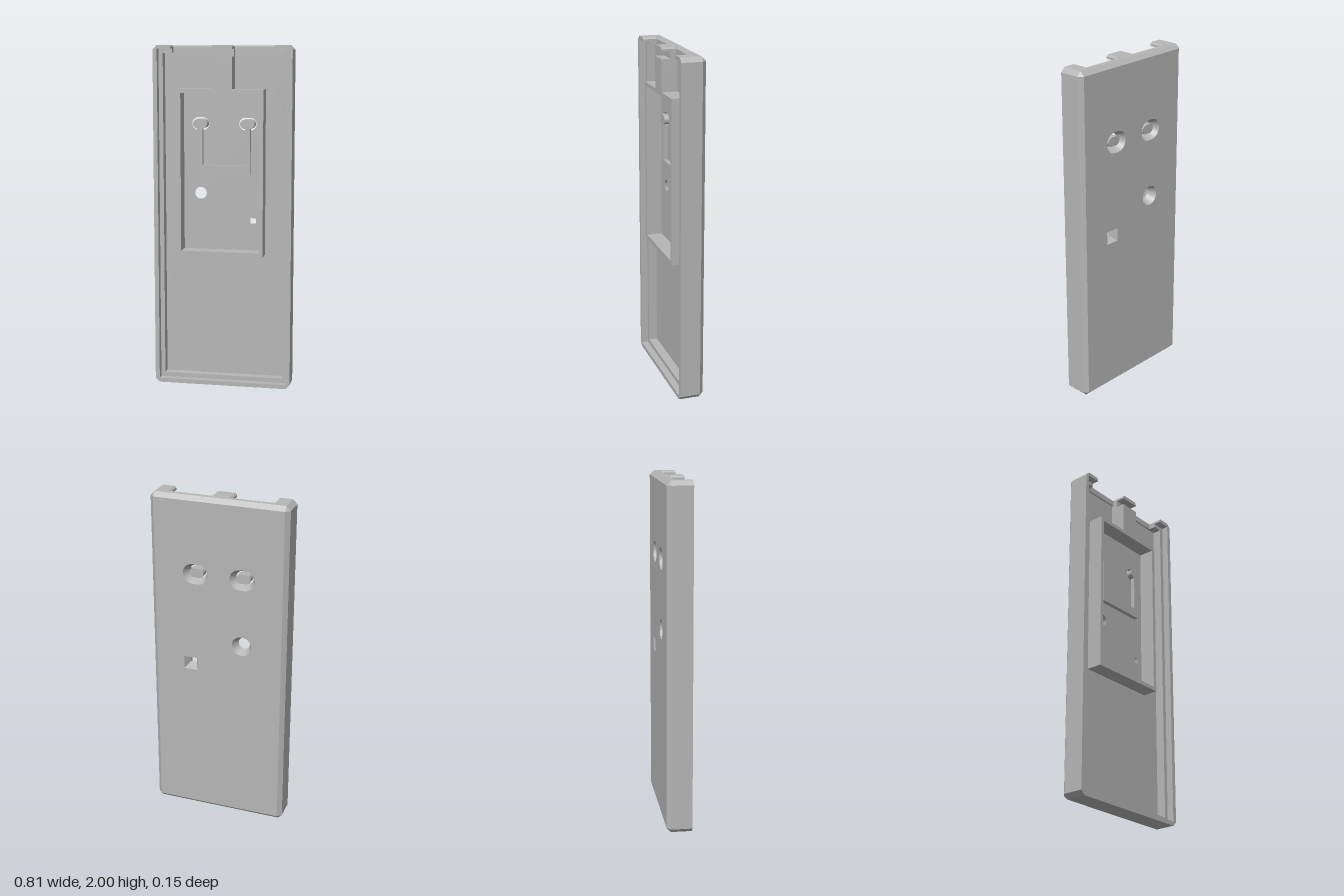
import * as THREE from 'three';
import { mergeGeometries, toCreasedNormals } from 'three/addons/utils/BufferGeometryUtils.js';

const W = 0.405, H = 2, C = 0.025;            // half width, height, chamfer
const BACK = -0.073, FRONT = 0.073, FLOOR = -0.02, NOTCH = -0.01, LIP = 0.033;

const vecs = (list) => list.map(([x, y]) => new THREE.Vector2(x, y));
const rect = (x0, y0, x1, y1) => vecs([[x0, y0], [x1, y0], [x1, y1], [x0, y1]]);

// Rounded slot outline, counter-clockwise; a circle when hw equals hh
function slot(cx, cy, hw, hh, n = 12) {
  const pts = [];
  for (const side of [1, -1]) {
    for (let i = 0; i <= n; i++) {
      if (hw === hh && i === n) continue;
      const a = -Math.PI / 2 + (i / n) * Math.PI;
      pts.push(new THREE.Vector2(cx + side * (hw - hh + Math.cos(a) * hh), cy + side * Math.sin(a) * hh));
    }
  }
  return pts;
}

// Wall strip between two outlines with equal point counts
function loft(a, za, b, zb) {
  const pos = [];
  for (let i = 0; i < a.length; i++) {
    const j = (i + 1) % a.length;
    pos.push(a[i].x, a[i].y, za, a[j].x, a[j].y, za, b[j].x, b[j].y, zb);
    pos.push(a[i].x, a[i].y, za, b[j].x, b[j].y, zb, b[i].x, b[i].y, zb);
  }
  return new THREE.BufferGeometry().setAttribute('position', new THREE.Float32BufferAttribute(pos, 3));
}

// Flat face with holes, facing +z, or -z when flipped
function face(outline, holes, z, flip) {
  const s = new THREE.Shape(outline);
  s.holes = holes.map((h) => new THREE.Path(h));
  const g = new THREE.ShapeGeometry(s);
  if (flip) g.setIndex(Array.from(g.index.array).reverse());
  const flat = g.toNonIndexed().translate(0, 0, z);
  flat.deleteAttribute('normal');
  flat.deleteAttribute('uv');
  return flat;
}

function slab(outline, z0, z1, holes = []) {
  const s = new THREE.Shape(outline);
  s.holes = holes.map((h) => new THREE.Path(h));
  const g = new THREE.ExtrudeGeometry(s, { depth: z1 - z0, bevelEnabled: false }).translate(0, 0, z0);
  return toCreasedNormals(g, 0.6);
}

// Extrude a (z, y) profile along x
function alongX(profile, x0, x1) {
  const s = new THREE.Shape(profile.map(([z, y]) => new THREE.Vector2(-z, y)));
  return new THREE.ExtrudeGeometry(s, { depth: x1 - x0, bevelEnabled: false })
    .rotateY(Math.PI / 2).translate(x0, 0, 0);
}

export function createModel() {
  const group = new THREE.Group();
  const grey = new THREE.MeshStandardMaterial({ color: 0xb6b6b6 });
  grey.name = 'plain grey';
  const add = (name, geometry) => {
    const m = new THREE.Mesh(geometry, grey);
    m.name = name;
    group.add(m);
  };

  // Outlines of the body: chamfered corners, shrinking to a rectangle at the back
  const xi = W - C;
  const octagon = vecs([[-xi, 0], [xi, 0], [W, C], [W, H - C], [xi, H], [-xi, H], [-W, H - C], [-W, C]]);
  const backOct = vecs([[-xi, C], [xi, C], [xi, C], [xi, H - C], [xi, H - C], [-xi, H - C], [-xi, H - C], [-xi, C]]);
  const backRect = rect(-xi, C, xi, H - C);

  // Flared openings through the back: two button slots, a round and a square hole
  const buttons = [-0.143, 0.136];
  const openings = (g) => [
    ...buttons.map((x) => slot(x, 1.547, 0.051 + g, 0.037 + g)),
    slot(-0.143, 1.14, 0.035 + g, 0.035 + g),
    rect(0.17 - 0.017 - g, 0.982 - 0.015 - g, 0.17 + 0.017 + g, 0.982 + 0.015 + g),
  ];
  const small = openings(0), large = openings(0.024);
  const plate = [
    face(backRect, large, BACK, true),
    face(octagon, small, FLOOR, false),
    loft(backOct, BACK, octagon, BACK + C),
    loft(octagon, BACK + C, octagon, FLOOR),
    ...small.map((h, i) => loft([...large[i]].reverse(), BACK, [...h].reverse(), FLOOR)),
  ];
  add('backPlate', toCreasedNormals(mergeGeometries(plate), 0.6));

  // Low wall all the way round, with its top edge sloped at the two notches
  const lowOutline = vecs([[-xi, 0], [xi, 0], [W, C], [W, H - C], [xi, H],
    [0.31, H], [0.31, 1.99], [0.05, 1.99], [0.05, H], [-0.05, H], [-0.05, 1.99], [-0.31, 1.99], [-0.31, H],
    [-xi, H], [-W, H - C], [-W, C]]);
  add('lowerWall', slab(lowOutline, FLOOR, NOTCH, [rect(-0.355, 0.05, 0.355, 1.955)]));
  for (const x of [-0.31, 0.05]) {
    add('notchSlope', alongX([[NOTCH, 1.99], [FLOOR, H], [FLOOR, 1.99]], x, x + 0.26));
  }

  // Upper walls, open at the top between the corner posts
  const openWall = (xIn, yLow, yHigh) => vecs([[-xi, 0], [xi, 0], [W, C], [W, H - C], [xi, H],
    [0.31, H], [0.3, 1.99], [0.3, yHigh], [xIn, yHigh], [xIn, yLow], [-xIn, yLow], [-xIn, yHigh],
    [-0.3, yHigh], [-0.3, 1.99], [-0.31, H], [-xi, H], [-W, H - C], [-W, C]]);
  add('innerLip', slab(openWall(0.355, 0.05, 1.955), NOTCH, LIP));
  add('outerRim', slab(openWall(xi, C, 1.978), LIP, FRONT));

  // Centre tab on the top edge and the stem leading down to the frame
  add('topTab', slab(vecs([[-0.06, 1.978], [0.06, 1.978], [0.06, 1.99], [0.05, H], [-0.05, H], [-0.06, 1.99]]), NOTCH, FRONT));
  add('stem', alongX([[FLOOR, 1.74], [FRONT, 1.74], [FRONT, 1.935], [0.02, 1.935], [0.02, 1.98], [FLOOR, 1.98]], -0.06, 0.06));

  // Raised compartment frame
  add('compartmentFrame', slab(rect(-0.265, 0.782, 0.24, 1.75), FLOOR, FRONT, [rect(-0.243, 0.806, 0.217, 1.728)]));

  // U-shaped spring arm with a button at each end
  add('springArm', slab(vecs([[-0.16, 1.252], [0.153, 1.252], [0.153, 1.53], [0.123, 1.53],
    [0.123, 1.307], [-0.128, 1.307], [-0.128, 1.53], [-0.16, 1.53]]), FLOOR, 0.005));
  for (const x of buttons) add('button', slab(slot(x, 1.547, 0.042, 0.027), -0.055, 0.005));

  return group;
}
